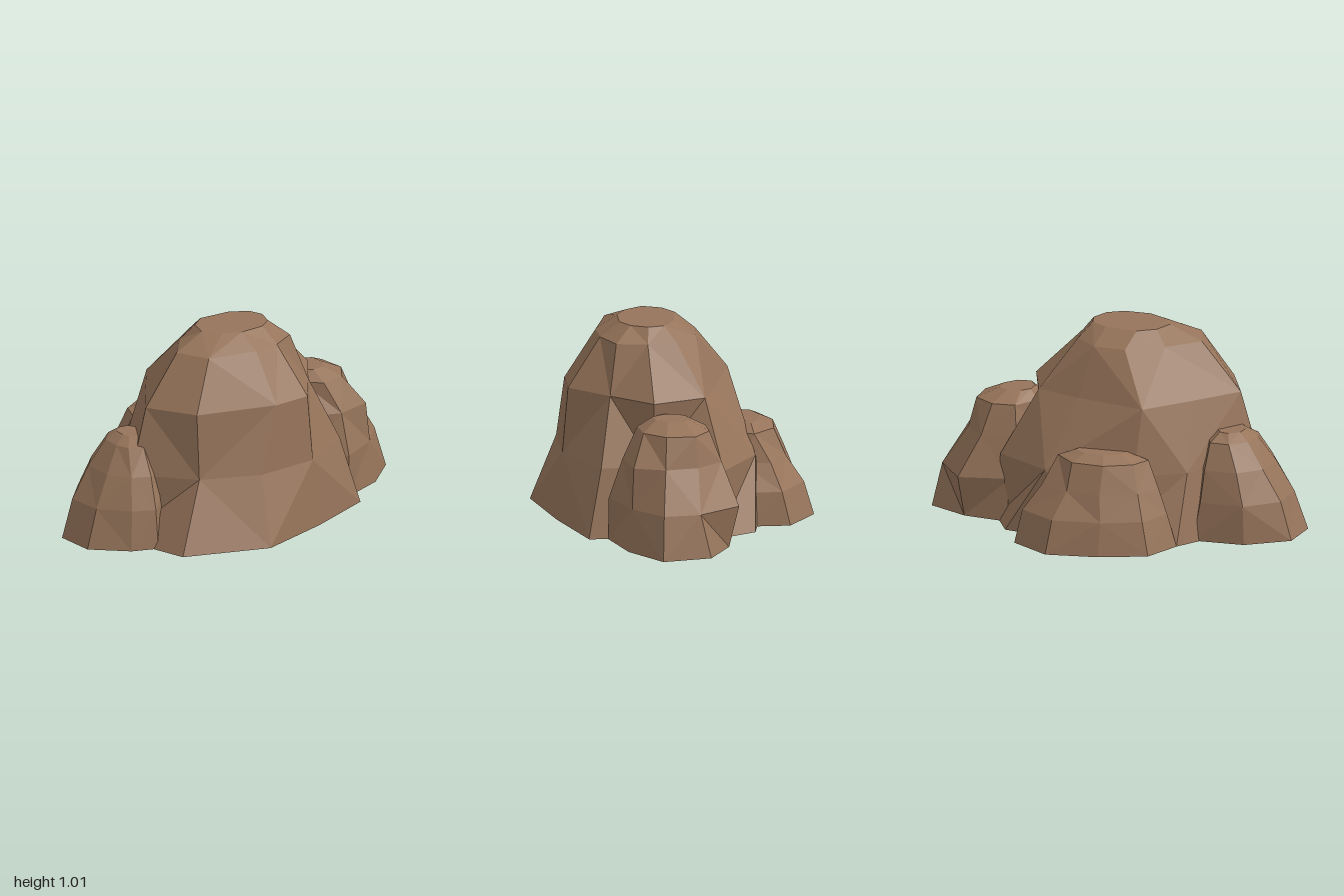
import * as THREE from 'three';

const stone = new THREE.MeshStandardMaterial({ color: 0x96745a, flatShading: true });
stone.name = 'brown stone';

// Faceted boulder: closed loops of [x, z] corners, one at each height, capped at both ends.
function boulder(name, heights, loops) {
  const rings = loops.map((loop, i) => loop.map(([x, z]) => new THREE.Vector3(x, heights[i], z)));
  const n = rings[0].length;
  const points = [];
  const tri = (a, b, c) => points.push(a, b, c);
  for (let r = 0; r < rings.length - 1; r++) {
    for (let i = 0; i < n; i++) {
      const j = (i + 1) % n;
      const a = rings[r][i], b = rings[r][j], c = rings[r + 1][j], d = rings[r + 1][i];
      // alternate the diagonal for an irregular, chiselled surface
      if ((r + i) % 2) { tri(a, b, c); tri(a, c, d); }
      else { tri(a, b, d); tri(b, c, d); }
    }
  }
  const centre = ring => ring.reduce((s, p) => s.add(p), new THREE.Vector3()).divideScalar(n);
  const base = rings[0], top = rings[rings.length - 1];
  const low = centre(base), high = centre(top);
  for (let i = 0; i < n; i++) {
    const j = (i + 1) % n;
    tri(top[i], top[j], high);
    tri(base[j], base[i], low);
  }
  const geometry = new THREE.BufferGeometry().setFromPoints(points);
  geometry.computeVertexNormals();
  const mesh = new THREE.Mesh(geometry, stone);
  mesh.name = name;
  return mesh;
}

export function createModel() {
  const group = new THREE.Group();
  group.name = 'rockPile';

  // Large central rock
  group.add(boulder('mainBoulder', [0, 0.35, 0.69, 0.94, 1.015], [
    [[-.71, .52], [-.28, .71], [.14, .61], [.53, .48], [.55, .14], [.58, -.18], [.47, -.38], [-.1, -.48], [-.45, -.38], [-.78, .1]],
    [[-.52, .43], [-.23, .58], [.12, .58], [.45, .41], [.43, .14], [.55, -.21], [.25, -.4], [-.22, -.38], [-.46, -.23], [-.73, .14]],
    [[-.51, .4], [-.1, .55], [.11, .55], [.29, .35], [.47, .14], [.37, -.13], [.13, -.21], [-.24, -.3], [-.44, -.08], [-.63, .14]],
    [[-.36, .32], [-.1, .39], [.05, .38], [.2, .31], [.22, .15], [.2, 0], [.08, -.11], [-.09, -.12], [-.27, -.01], [-.42, .14]],
    [[-.19, .23], [-.1, .28], [.04, .28], [.12, .23], [.16, .14], [.14, .06], [.05, 0], [-.12, -.02], [-.21, .04], [-.25, .14]],
  ]));

  // Smaller rock on the model's left
  group.add(boulder('leftBoulder', [0, 0.22, 0.43, 0.585, 0.635], [
    [[.35, .25], [.54, .38], [.79, .3], [1, .14], [.95, -.11], [.74, -.22], [.5, -.25], [.3, 0]],
    [[.38, .25], [.54, .38], [.77, .28], [.93, .13], [.91, -.06], [.76, -.27], [.5, -.22], [.32, 0]],
    [[.39, .23], [.55, .31], [.75, .27], [.8, .11], [.77, -.06], [.66, -.19], [.48, -.16], [.38, .02]],
    [[.42, .15], [.5, .23], [.64, .21], [.73, .1], [.73, -.05], [.62, -.13], [.5, -.12], [.42, 0]],
    [[.46, .09], [.5, .15], [.57, .14], [.62, .08], [.62, 0], [.57, -.03], [.5, -.02], [.46, .02]],
  ]));

  // Smaller rock on the model's right
  group.add(boulder('rightBoulder', [0, 0.2, 0.36, 0.49, 0.53], [
    [[-.72, .34], [-.5, .2], [-.45, -.05], [-.5, -.26], [-.77, -.25], [-.98, -.11], [-1, .11], [-.85, .28]],
    [[-.71, .31], [-.5, .2], [-.45, -.05], [-.53, -.23], [-.76, -.24], [-.92, -.1], [-.93, .1], [-.82, .25]],
    [[-.69, .25], [-.52, .18], [-.46, -.03], [-.54, -.19], [-.71, -.19], [-.82, -.09], [-.84, .08], [-.78, .2]],
    [[-.67, .17], [-.55, .13], [-.5, 0], [-.55, -.13], [-.65, -.13], [-.73, -.06], [-.75, .05], [-.73, .12]],
    [[-.65, .1], [-.58, .08], [-.55, 0], [-.58, -.06], [-.63, -.07], [-.68, -.03], [-.69, .03], [-.68, .07]],
  ]));

  // Low rock at the back
  group.add(boulder('backBoulder', [0, 0.17, 0.3, 0.44, 0.475], [
    [[-.1, -.3], [.36, -.34], [.36, -.57], [.15, -.71], [-.12, -.67], [-.36, -.58], [-.45, -.38]],
    [[-.08, -.3], [.32, -.33], [.33, -.53], [.13, -.66], [-.12, -.63], [-.32, -.55], [-.4, -.38]],
    [[-.07, -.28], [.22, -.33], [.24, -.48], [.08, -.57], [-.1, -.58], [-.28, -.5], [-.35, -.37]],
    [[-.06, -.27], [.13, -.31], [.18, -.4], [.07, -.51], [-.1, -.52], [-.24, -.45], [-.29, -.35]],
    [[-.06, -.3], [.06, -.33], [.09, -.39], [.02, -.44], [-.08, -.45], [-.16, -.41], [-.18, -.35]],
  ]));

  return group;
}
